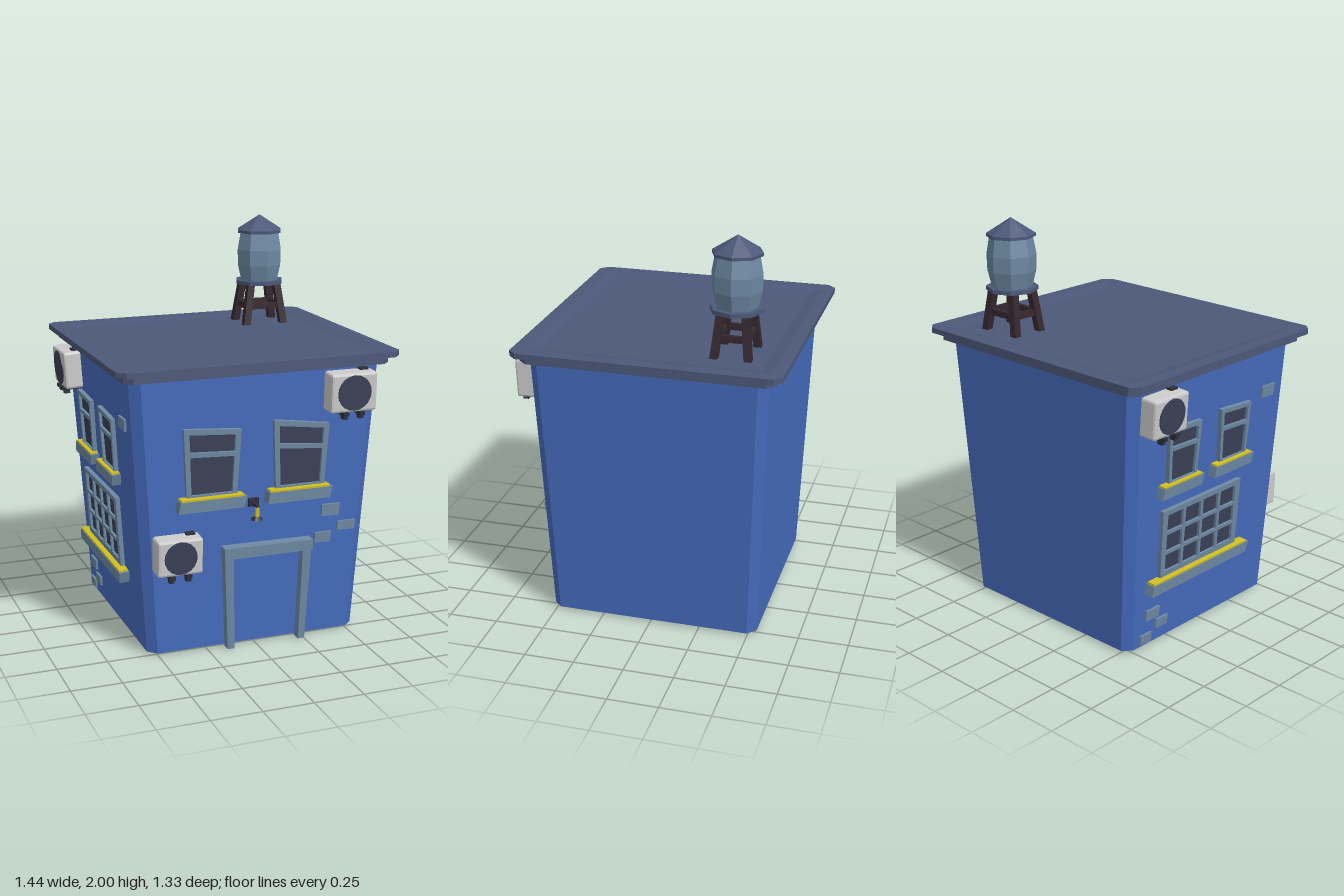
import * as THREE from 'three';
import { RoundedBoxGeometry } from 'three/addons/geometries/RoundedBoxGeometry.js';

const mat = (name, color) => {
  const m = new THREE.MeshStandardMaterial({ color, flatShading: true });
  m.name = name;
  return m;
};

export function createModel() {
  const M = {
    wall: mat('wall blue', 0x466cbe),
    roof: mat('roof slate', 0x4c5879),
    stone: mat('blue grey trim', 0x6d89a3),
    glass: mat('dark glass', 0x3a4056),
    white: mat('appliance white', 0xcbcbcb),
    yellow: mat('yellow trim', 0xd0bf22),
    wood: mat('dark wood', 0x36282f),
    metal: mat('dark metal', 0x2d2f3a),
  };

  const add = (parent, name, geo, material, x = 0, y = 0, z = 0) => {
    const m = new THREE.Mesh(geo, material);
    m.name = name;
    m.position.set(x, y, z);
    parent.add(m);
    return m;
  };
  const box = (p, name, material, w, h, d, x, y, z) =>
    add(p, name, new THREE.BoxGeometry(w, h, d), material, x, y, z);
  const group = (parent, name, x = 0, y = 0, z = 0) => {
    const g = new THREE.Group();
    g.name = name;
    g.position.set(x, y, z);
    parent.add(g);
    return g;
  };

  // Rectangle with cut corners, counter-clockwise seen from above
  const ring = ([y, hx, hz, cz, c]) => [
    [hx, hz - c], [hx, c - hz], [hx - c, -hz], [c - hx, -hz],
    [-hx, c - hz], [-hx, hz - c], [c - hx, hz], [hx - c, hz],
  ].map(([x, z]) => [x, y, z + cz]);

  // Closed solid through a list of rings
  const loft = (sections) => {
    const rings = sections.map(ring), out = [];
    const tri = (a, b, c) => out.push(...a, ...b, ...c);
    for (let r = 0; r + 1 < rings.length; r++) {
      for (let i = 0; i < 8; i++) {
        const j = (i + 1) % 8, a = rings[r], b = rings[r + 1];
        tri(a[i], a[j], b[j]);
        tri(a[i], b[j], b[i]);
      }
    }
    const lo = rings[0], hi = rings[rings.length - 1];
    for (let i = 1; i < 7; i++) {
      tri(lo[0], lo[i + 1], lo[i]);
      tri(hi[0], hi[i], hi[i + 1]);
    }
    const g = new THREE.BufferGeometry();
    g.setAttribute('position', new THREE.Float32BufferAttribute(out, 3));
    g.computeVertexNormals();
    return g;
  };

  // Flat polygon with optional holes, given a thickness
  const plate = (pts, depth, holes = []) => {
    const v = (l) => l.map(([x, y]) => new THREE.Vector2(x, y));
    const s = new THREE.Shape(v(pts));
    holes.forEach((h) => s.holes.push(new THREE.Path(v(h))));
    return new THREE.ExtrudeGeometry(s, { depth, bevelEnabled: false });
  };

  const root = new THREE.Group();
  root.name = 'townhouse';

  // Walls flare outwards towards the roof
  add(root, 'walls', loft([[0.01, 0.545, 0.53, -0.01, 0.042], [1.385, 0.635, 0.582, -0.01, 0.046]]), M.wall);

  // Stepped eaves and a shallow sunken roof top
  add(root, 'roof', loft([
    [1.378, 0.672, 0.62, -0.013, 0.04], [1.415, 0.672, 0.62, -0.013, 0.04],
    [1.415, 0.713, 0.656, -0.015, 0.04], [1.442, 0.713, 0.656, -0.015, 0.04],
    [1.442, 0.65, 0.595, -0.015, 0.004], [1.43, 0.59, 0.538, -0.015, 0.004],
  ]), M.roof);

  // Water tower
  const tower = group(root, 'waterTower', 0.382, 0, -0.385);
  const beam = (name, a, b, r) => {
    const A = new THREE.Vector3(...a), B = new THREE.Vector3(...b);
    const m = add(tower, name, new THREE.CylinderGeometry(r, r, A.distanceTo(B), 4, 1).rotateY(Math.PI / 4), M.wood);
    m.position.copy(A).add(B).multiplyScalar(0.5);
    m.quaternion.setFromUnitVectors(new THREE.Vector3(0, 1, 0), B.sub(A).normalize());
  };
  for (const s of [-1, 1]) {
    for (const t of [-1, 1]) beam('towerLeg', [s * 0.105, 1.425, t * 0.082], [s * 0.072, 1.645, t * 0.06], 0.026);
    box(tower, 'towerRail', M.wood, 0.17, 0.032, 0.022, 0, 1.525, s * 0.071);
    box(tower, 'towerRail', M.wood, 0.022, 0.032, 0.14, s * 0.088, 1.525, 0);
  }
  const disc = (name, material, top, bottom, y0, y1) =>
    add(tower, name, new THREE.CylinderGeometry(top, bottom, y1 - y0, 8), material, 0, (y0 + y1) / 2, 0);
  disc('towerPlatform', M.roof, 0.13, 0.13, 1.638, 1.658);
  const barrel = [[0, 1.65], [0.1, 1.65], [0.121, 1.74], [0.123, 1.82], [0.105, 1.92], [0, 1.92]];
  add(tower, 'waterTank', new THREE.LatheGeometry(barrel.map((p) => new THREE.Vector2(...p)), 8), M.stone);
  disc('tankRim', M.roof, 0.122, 0.122, 1.908, 1.923);
  disc('tankRoof', M.roof, 0.001, 0.122, 1.923, 2);

  // Leaning wall frames: local x along the wall, local z outwards
  const front = group(root, 'frontDetails', 0, 0, 0.52);
  front.rotation.x = Math.atan(0.052 / 1.375);
  const sidePivot = group(root, 'sideDetails', -0.545, 0, 0);
  sidePivot.rotation.y = -Math.PI / 2;
  const side = group(sidePivot, 'sideWall');
  side.rotation.x = Math.atan(0.09 / 1.375);

  // Crooked sash window; l and r are the heights of its top corners
  const sash = (p, x, y, w, l, r) => {
    const g = group(p, 'sashWindow', x, y, 0);
    const at = (u, v) => [u * w * (0.44 + 0.06 * v), v * (l + (r - l) * (u + 1) / 2)];
    const quad = (v0, v1) => [at(-0.81, v0), at(0.81, v0), at(0.81, v1), at(-0.81, v1)];
    add(g, 'windowFrame', plate([at(-1, 0), at(1, 0), at(1, 1), at(-1, 1)], 0.022,
      [quad(0.03, 0.59), quad(0.66, 0.92)]), M.stone);
    add(g, 'windowGlass', plate([at(-0.9, 0.02), at(0.9, 0.02), at(0.9, 0.95), at(-0.9, 0.95)], 0.008), M.glass);
  };
  // Sloping-ended sill with a yellow top strip
  const sill = (p, x, y, w, h, d = 0.055) => {
    const g = group(p, 'windowSill', x, y, 0);
    add(g, 'sillBlock', plate([[-w / 2, -h], [w / 2 - 0.015, -h], [w / 2, 0], [-w / 2 + 0.01, 0]], d), M.stone);
    box(g, 'sillStrip', M.yellow, w - 0.03, 0.009, d - 0.006, 0, 0.004, d / 2);
  };

  sash(front, -0.24, 0.8, 0.29, 0.34, 0.318);
  sash(front, 0.215, 0.8, 0.29, 0.345, 0.305);
  sill(front, -0.245, 0.793, 0.345, 0.056);
  sill(front, 0.205, 0.793, 0.34, 0.056);
  sash(side, -0.235, 0.865, 0.23, 0.285, 0.275);
  sash(side, 0.14, 0.865, 0.23, 0.285, 0.27);
  sill(side, -0.25, 0.862, 0.3, 0.055, 0.045);
  sill(side, 0.13, 0.862, 0.3, 0.055, 0.045);

  // Wide window with a grid of panes
  const wide = group(side, 'wideWindow', -0.07, 0.365, 0);
  const holes = [];
  for (let i = 0; i < 4; i++) for (let j = 0; j < 3; j++) {
    const x = -0.255 + i * 0.131, y = 0.03 + j * 0.107;
    holes.push([[x, y], [x + 0.112, y], [x + 0.112, y + 0.09], [x, y + 0.09]]);
  }
  add(wide, 'wideFrame', plate([[-0.285, 0], [0.285, 0], [0.29, 0.36], [-0.29, 0.36]], 0.022, holes), M.stone);
  box(wide, 'wideGlass', M.glass, 0.55, 0.33, 0.009, 0, 0.18, 0.0045);
  sill(side, -0.075, 0.36, 0.73, 0.056, 0.052);

  // Door surround
  add(front, 'doorFrame', plate([
    [-0.157, 0], [-0.122, 0], [-0.132, 0.475], [0.23, 0.475], [0.218, 0],
    [0.252, 0], [0.275, 0.475], [0.278, 0.525], [-0.18, 0.53], [-0.178, 0.475],
  ], 0.046), M.stone);
  add(front, 'doorLintel', plate([[-0.183, 0.475], [0.28, 0.472], [0.28, 0.526], [-0.183, 0.532]], 0.055), M.stone);

  // Exposed bricks
  const brick = (p, x, y, w, h) => add(p, 'exposedBrick', plate([
    [x - w / 2, y - h / 2 + 0.004], [x + w / 2 - 0.006, y - h / 2], [x + w / 2, y + h / 2], [x - w / 2 + 0.004, y + h / 2],
  ], 0.012), M.stone);
  [[0.388, 0.653, 0.1, 0.062], [0.475, 0.563, 0.1, 0.048], [0.35, 0.513, 0.09, 0.055]].forEach((b) => brick(front, ...b));
  [[-0.38, 0.175, 0.1, 0.055], [-0.31, 0.105, 0.09, 0.05], [-0.42, 0.05, 0.08, 0.05], [0.4, 1.15, 0.1, 0.06]]
    .forEach((b) => brick(side, ...b));

  // Air conditioners
  const cooler = (p, x, y, w, h) => {
    const g = group(p, 'airConditioner', x, y, 0);
    add(g, 'coolerCase', new RoundedBoxGeometry(w, h, 0.1, 1, 0.012), M.white, 0, 0, 0.038);
    add(g, 'coolerFan', new THREE.CylinderGeometry(h * 0.455, h * 0.455, 0.009, 20).rotateX(Math.PI / 2), M.glass, 0, 0, 0.088);
    for (const s of [-1, 1]) {
      box(g, 'coolerBracket', M.metal, 0.028, 0.018, 0.1, s * 0.042, -h / 2 - 0.008, 0.045);
      box(g, 'coolerFoot', M.metal, 0.024, 0.025, 0.03, s * 0.042, -h / 2 - 0.022, 0.07);
    }
    box(g, 'coolerPipe', M.metal, 0.045, 0.014, 0.03, w * 0.3, h / 2 + 0.003, 0.02);
  };
  cooler(front, 0.455, 1.265, 0.24, 0.192);
  cooler(front, -0.417, 0.53, 0.226, 0.18);
  cooler(side, -0.425, 1.26, 0.23, 0.192);

  // Wall lamp
  const lamp = group(front, 'wallLamp', -0.022, 0, 0);
  box(lamp, 'lampPlate', M.metal, 0.052, 0.04, 0.015, 0, 0.74, 0.007);
  box(lamp, 'lampArm', M.metal, 0.016, 0.016, 0.055, 0, 0.735, 0.035);
  add(lamp, 'lampNeck', new THREE.CylinderGeometry(0.011, 0.013, 0.05, 8), M.yellow, 0, 0.705, 0.056);
  add(lamp, 'lampShade', new THREE.CylinderGeometry(0.012, 0.03, 0.018, 8), M.metal, 0, 0.676, 0.056);
  add(lamp, 'lampBulb', new THREE.CylinderGeometry(0.018, 0.012, 0.008, 8), M.yellow, 0, 0.664, 0.056);

  return root;
}
